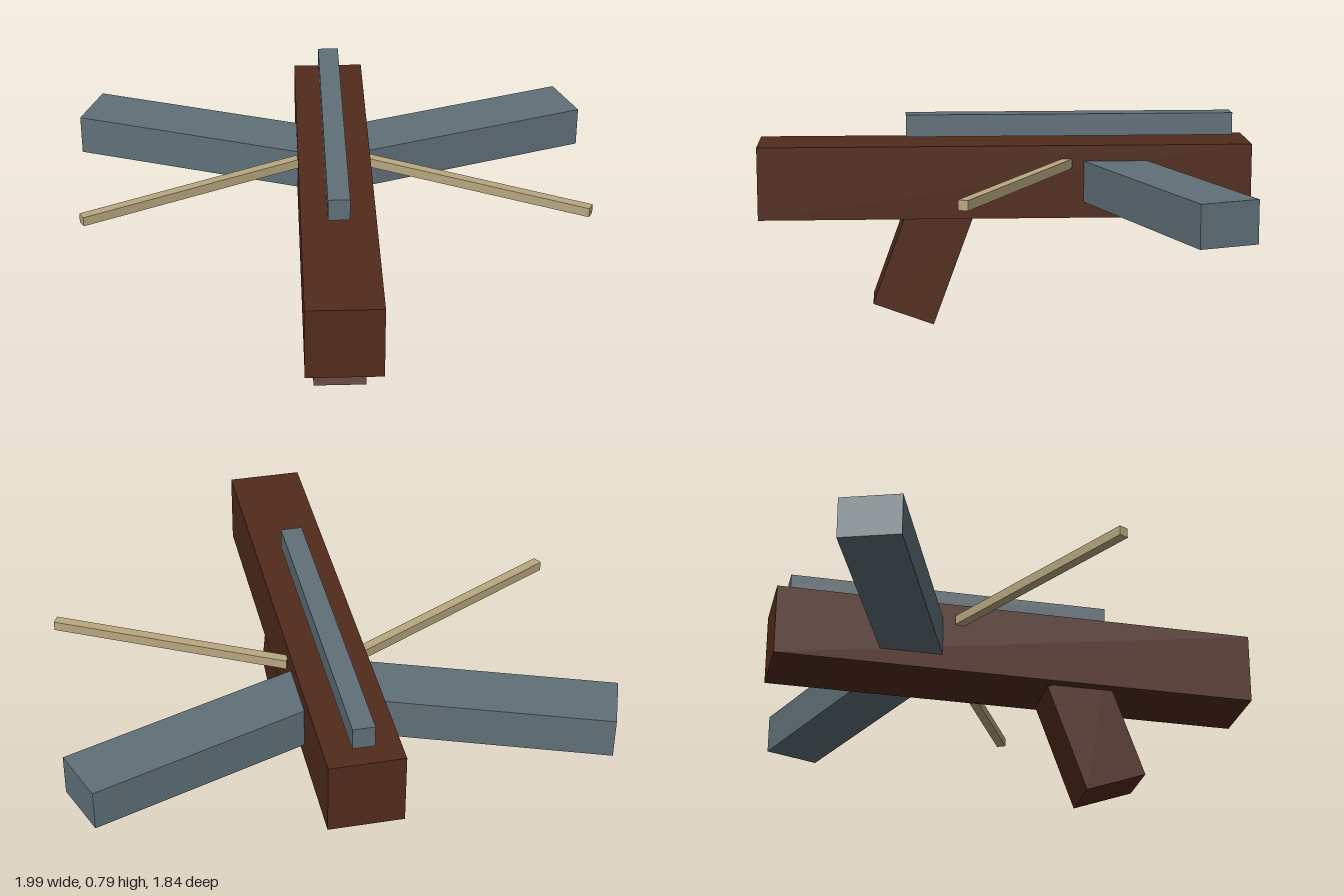
import * as THREE from 'three';

const wood = new THREE.MeshStandardMaterial({ color: 0x522b1c, flatShading: true });
const steel = new THREE.MeshStandardMaterial({ color: 0x607078, flatShading: true });
const cord = new THREE.MeshStandardMaterial({ color: 0xb8a880, flatShading: true });

function box(name, material, size, position) {
  const mesh = new THREE.Mesh(new THREE.BoxGeometry(...size), material);
  mesh.name = name;
  mesh.position.set(...position);
  return mesh;
}

export function createModel() {
  const group = new THREE.Group();
  group.name = 'crossbow';
  const deg = THREE.MathUtils.degToRad;

  // Long stock with the rail floating just above it
  group.add(box('stock', wood, [0.274, 0.274, 1.844], [0, 0.553, 0]));
  group.add(box('rail', steel, [0.08, 0.083, 1.23], [0, 0.753, -0.246]));

  // Raked grip under the stock
  const grip = box('grip', wood, [0.195, 0.434, 0.242], [0, 0.246, 0.31]);
  grip.rotation.x = deg(-20);
  group.add(grip);

  // Swept bow limbs and string halves, mirrored left and right
  for (const [side, label] of [[1, 'left'], [-1, 'right']]) {
    const limb = box(label + 'Limb', steel, [0.95, 0.155, 0.223], [side * 0.513, 0.553, -0.548]);
    limb.rotation.y = side * deg(20);
    group.add(limb);

    const string = box(label + 'String', cord, [0.9, 0.036, 0.036], [side * 0.536, 0.622, -0.024]);
    string.rotation.y = side * deg(-27.3);
    group.add(string);
  }
  return group;
}
